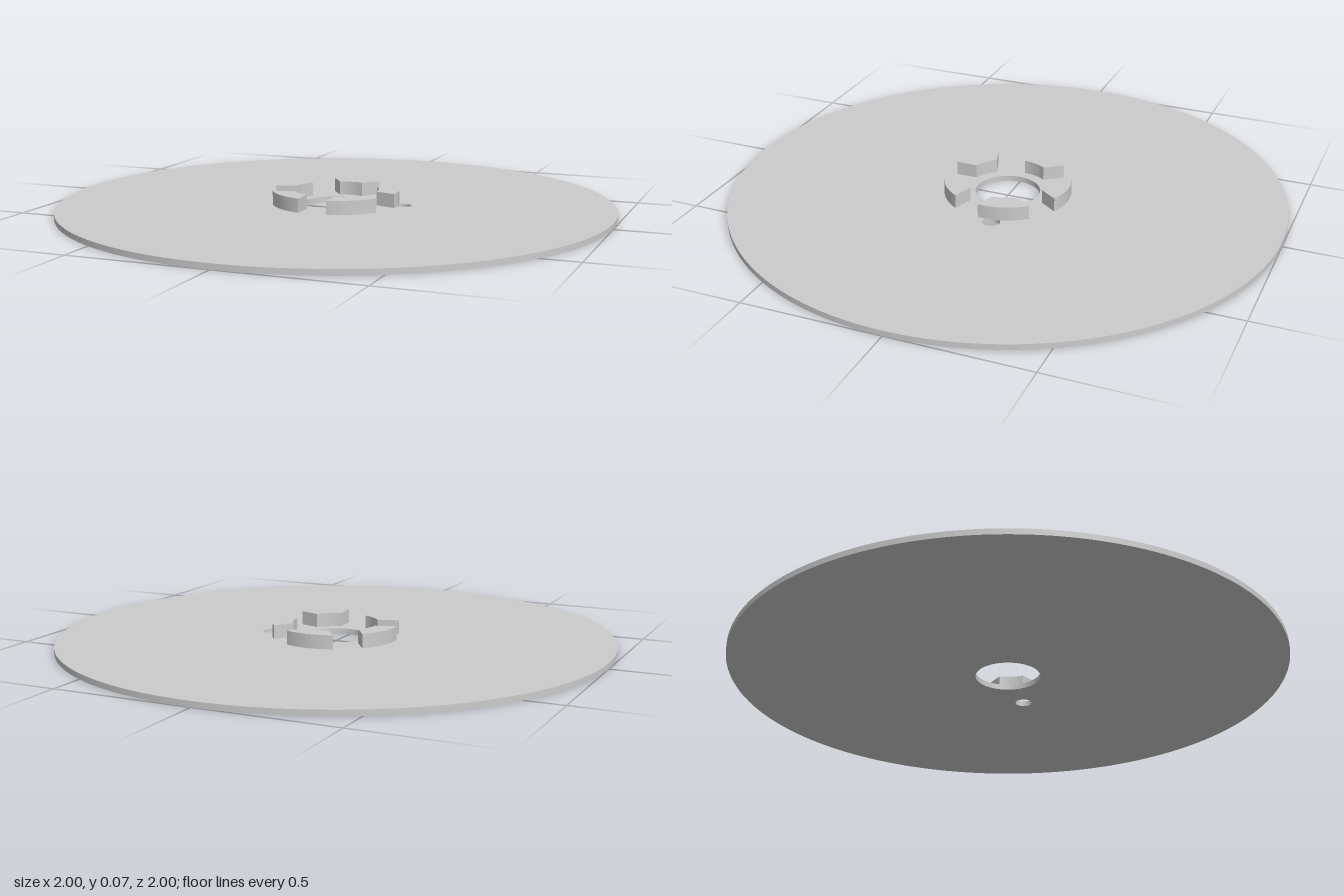
import * as THREE from 'three';
import { toCreasedNormals } from 'three/addons/utils/BufferGeometryUtils.js';

const DISC_TOP = 0.02, LUG_TOP = 0.07;
const LUG_COUNT = 5, LUG_INNER = 0.155, LUG_OUTER = 0.23, HALF_GAP = 0.052;

// Extrudes a plan shape (shape y = -z) upward from y0 to y1
function plate(shape, y0, y1, curveSegments) {
  const geo = new THREE.ExtrudeGeometry(shape, { depth: y1 - y0, bevelEnabled: false, curveSegments });
  geo.rotateX(-Math.PI / 2).translate(0, y0, 0);
  return toCreasedNormals(geo, 0.5);
}

function circle(Type, x, y, r) {
  return new Type().absarc(x, y, r, 0, Math.PI * 2, false);
}

// Ring segment whose sides run parallel to the middle of the neighbouring gaps
function lugShape() {
  const half = (r) => Math.PI / LUG_COUNT - Math.asin(HALF_GAP / r);
  const mid = Math.PI / 2, a = half(LUG_OUTER), b = half(LUG_INNER);
  const shape = new THREE.Shape();
  shape.absarc(0, 0, LUG_OUTER, mid - a, mid + a, false);
  shape.absarc(0, 0, LUG_INNER, mid + b, mid - b, true);
  shape.closePath();
  return shape;
}

export function createModel() {
  const group = new THREE.Group();
  const material = new THREE.MeshStandardMaterial({ color: 0xcccccc });

  // Thin disc with a centre bore and a small pin hole
  const discShape = circle(THREE.Shape, 0, 0, 1);
  discShape.holes.push(circle(THREE.Path, 0, 0, 0.117), circle(THREE.Path, 0.243, 0.037, 0.031));
  const disc = new THREE.Mesh(plate(discShape, 0, DISC_TOP, 96), material);
  disc.name = 'disc';
  group.add(disc);

  // Ring of raised lugs around the bore
  const lugs = new THREE.Group();
  lugs.name = 'lugRing';
  const lugGeometry = plate(lugShape(), DISC_TOP, LUG_TOP, 16);
  for (let i = 0; i < LUG_COUNT; i++) {
    const lug = new THREE.Mesh(lugGeometry, material);
    lug.name = `lug${i + 1}`;
    lug.rotation.y = (i * Math.PI * 2) / LUG_COUNT;
    lugs.add(lug);
  }
  group.add(lugs);

  return group;
}
